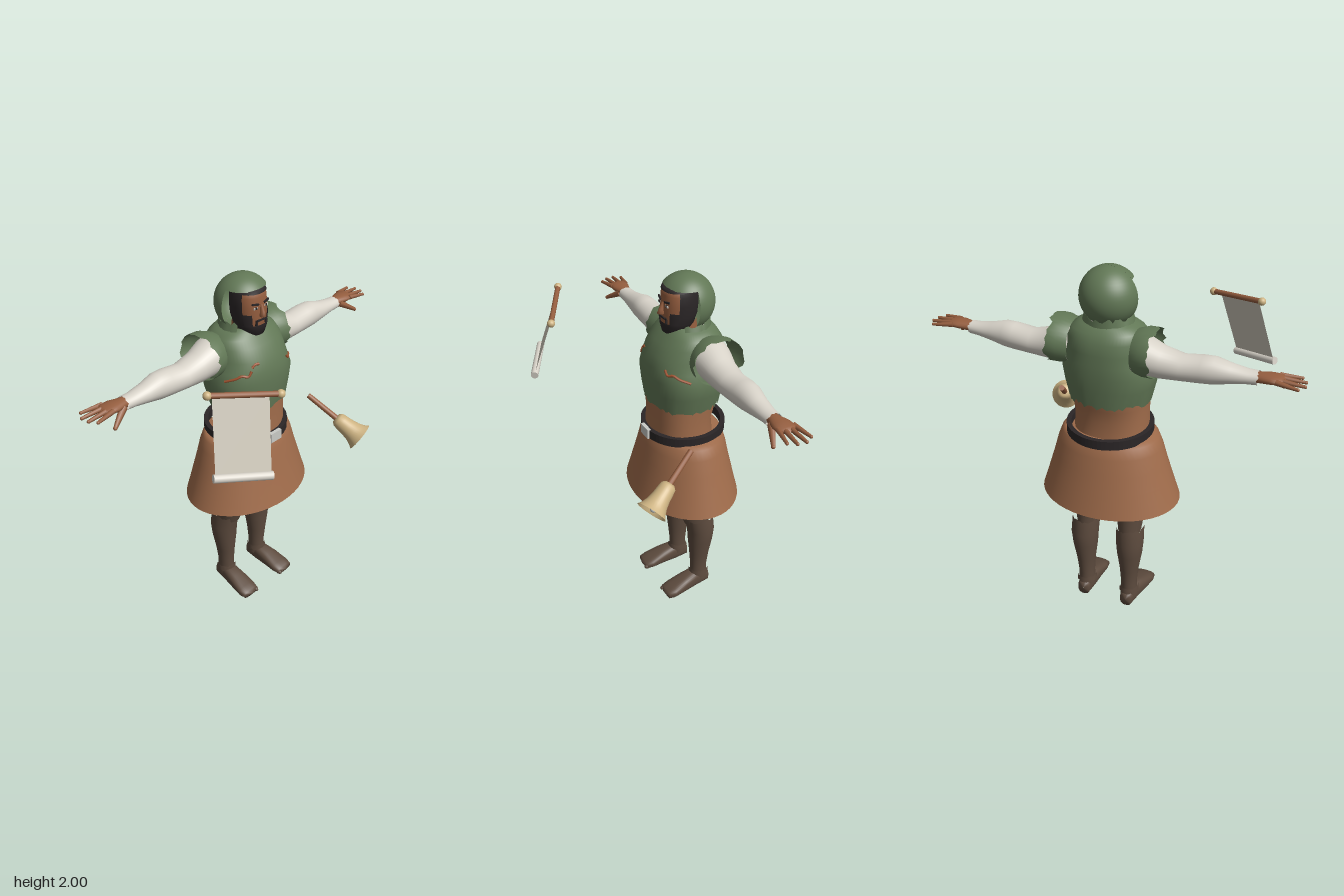
import * as THREE from 'three';

const mat = (name, color, side = THREE.FrontSide) => {
  const m = new THREE.MeshStandardMaterial({ color, side });
  m.name = name;
  return m;
};
const green = mat('green cloth', 0x627856, THREE.DoubleSide);
const skin = mat('skin', 0x955e3f);
const leather = mat('tan leather', 0xa06c4b, THREE.DoubleSide);
const linen = mat('linen', 0xd8d3c9, THREE.DoubleSide);
const boots = mat('dark brown', 0x5d4b3e);
const dark = mat('near black', 0x2b2627, THREE.DoubleSide);
const gold = mat('brass', 0xcdb382, THREE.DoubleSide);
const paper = mat('paper', 0xcdc7b9, THREE.DoubleSide);
const rust = mat('rust', 0xa0532f);
const metal = mat('pale metal', 0xc9cac6);

const V = (x, y, z) => new THREE.Vector3(x, y, z);
let seed = 7;
const rand = () => (seed = (seed * 16807) % 2147483647) / 2147483647;

// Skin over rings [t, u, v, ru, rv], t increasing along the axis.
// Axis y: u = x, v = z.  Axis x: u = z, v = y.  Axis z: u = y, v = x.
function loft(axis, rings, { n = 32, power = 2, from = 0, to = Math.PI * 2, jagLow = 0, jagHigh = 0 } = {}) {
  const full = to - from > 6.28, cols = full ? n : n + 1, pos = [], idx = [];
  const pw = c => Math.sign(c) * Math.abs(c) ** (2 / power);
  rings.forEach(([t, u, v, ru, rv], i) => {
    for (let j = 0; j < cols; j++) {
      const a = from + (to - from) * j / n;
      const p = u + ru * pw(Math.cos(a)), q = v + rv * pw(Math.sin(a));
      let s = t;
      if (i === 0) s -= jagLow * rand();
      if (i === rings.length - 1) s += jagHigh * rand();
      pos.push(...(axis === 'y' ? [p, s, q] : axis === 'x' ? [s, q, p] : [q, p, s]));
    }
  });
  for (let i = 0; i < rings.length - 1; i++) {
    for (let j = 0; j < n; j++) {
      const k = (j + 1) % cols, a = i * cols + j, b = i * cols + k;
      idx.push(a, a + cols, b, b, a + cols, b + cols);
    }
  }
  const g = new THREE.BufferGeometry();
  g.setAttribute('position', new THREE.Float32BufferAttribute(pos, 3));
  g.setIndex(idx);
  g.computeVertexNormals();
  return g;
}

// Tapered rod between two points
function rod(a, b, ra, rb, n = 12) {
  const d = b.clone().sub(a);
  const g = new THREE.CylinderGeometry(rb, ra, d.length(), n);
  g.applyQuaternion(new THREE.Quaternion().setFromUnitVectors(V(0, 1, 0), d.normalize()));
  return g.translate((a.x + b.x) / 2, (a.y + b.y) / 2, (a.z + b.z) / 2);
}
const ball = (p, r, sx = 1, sy = 1, sz = 1) => new THREE.SphereGeometry(r, 16, 12).scale(sx, sy, sz).translate(p.x, p.y, p.z);
const box = (w, h, d, x, y, z) => new THREE.BoxGeometry(w, h, d).translate(x, y, z);

function mirrored(geo) {
  const g = geo.clone().scale(-1, 1, 1), ix = g.index;
  for (let i = 0; i < ix.count; i += 3) {
    const t = ix.getX(i);
    ix.setX(i, ix.getX(i + 2));
    ix.setX(i + 2, t);
  }
  return g;
}

export function createModel() {
  const model = new THREE.Group();
  const add = (name, geo, m) => {
    const mesh = new THREE.Mesh(geo, m);
    mesh.name = name;
    model.add(mesh);
  };
  const pair = (name, geo, m) => {
    add('left ' + name, geo, m);
    add('right ' + name, mirrored(geo), m);
  };

  // Torso: bare waist, ragged tunic, collar
  add('waist', loft('y', [[1.08, 0, -.165, .2, .17], [1.2, 0, -.16, .195, .16], [1.28, 0, -.17, .2, .172], [1.38, 0, -.177, .2, .178]], { power: 2.3 }), leather);
  const tunicRings = [[1.325, 0, -.175, .212, .187], [1.4, 0, -.175, .235, .198], [1.48, 0, -.175, .248, .204],
    [1.54, 0, -.178, .225, .2], [1.6, 0, -.185, .21, .19], [1.66, 0, -.2, .205, .17], [1.7, 0, -.205, .185, .14], [1.725, 0, -.205, .14, .12], [1.74, 0, -.2, .1, .1]];
  add('tunic', loft('y', tunicRings, { n: 64, power: 2.3, jagLow: .03 }), green);
  add('hood collar', loft('y', [[1.7, 0, -.2, .14, .125], [1.75, 0, -.2, .118, .12]], { n: 30, from: Math.PI - .6, to: 2 * Math.PI + .6, jagHigh: .03 }), green);
  add('collar frill', loft('y', [[1.69, 0, -.18, .1, .12], [1.715, 0, -.18, .085, .1]], { n: 40, jagHigh: .025 }), linen);
  add('neck', loft('y', [[1.6, 0, -.2, .07, .07], [1.76, 0, -.18, .065, .065]]), skin);

  // Torn seams lying on the chest
  const onTunic = (x, y) => {
    const i = tunicRings.findIndex(r => r[0] > y), a = tunicRings[i - 1], b = tunicRings[i];
    const k = (y - a[0]) / (b[0] - a[0]), mix = c => a[c] + (b[c] - a[c]) * k;
    return V(x, y, mix(2) + mix(4) * Math.max(0, 1 - Math.abs(x / mix(3)) ** 2.3) ** (1 / 2.3));
  };
  const tear = pts => new THREE.TubeGeometry(new THREE.CatmullRomCurve3(pts.map(p => onTunic(...p))), 20, .007, 6);
  pair('chest tear', tear([[.125, 1.56], [.145, 1.535], [.17, 1.54], [.195, 1.525], [.228, 1.505]]), rust);
  add('small tear', tear([[-.12, 1.575], [-.1, 1.59], [-.08, 1.59]]), rust);

  // Skirt and belt
  const skirt = [[.385, .72], [.365, .78], [.34, .86], [.312, .95], [.287, 1.04], [.265, 1.095], [.245, 1.112], [.18, 1.116]];
  add('skirt', new THREE.LatheGeometry(skirt.map(p => new THREE.Vector2(...p)), 48).scale(1, 1, .768).translate(0, 0, -.19), leather);
  const ring = new THREE.Shape().absarc(0, 0, .23, 0, Math.PI * 2);
  ring.holes.push(new THREE.Path().absarc(0, 0, .205, 0, Math.PI * 2));
  add('belt', new THREE.ExtrudeGeometry(ring, { depth: .05, bevelEnabled: false, curveSegments: 32 }).rotateX(-Math.PI / 2).translate(0, 1.105, -.19), dark);
  add('buckle', box(.08, .056, .02, 0, 1.13, .037), metal);

  // Legs, boots and feet
  pair('thigh', loft('y', [[.5, .125, -.225, .062, .075], [.6, .122, -.205, .076, .09], [.72, .117, -.193, .086, .107], [1.08, .1, -.18, .09, .12]]), boots);
  pair('boot shaft', loft('y', [[.06, .132, -.25, .048, .055], [.15, .131, -.25, .044, .05], [.25, .133, -.25, .053, .06],
    [.36, .135, -.252, .07, .074], [.44, .136, -.252, .077, .08], [.525, .133, -.235, .076, .086]], { n: 40, jagHigh: .025 }), boots);
  pair('ankle cuff', loft('y', [[.1, .132, -.25, .055, .06], [.12, .132, -.25, .052, .057]], { jagLow: .015, jagHigh: .012 }), boots);
  pair('foot', loft('z', [[-.312, .05, .132, .001, .001], [-.305, .05, .132, .045, .035], [-.22, .056, .135, .056, .047],
    [-.14, .046, .142, .046, .056], [-.06, .03, .147, .03, .063], [-.02, .024, .148, .024, .055], [-.008, .022, .148, .001, .001]], { power: 2.6 }), boots);
  for (let i = 0; i < 5; i++) pair('toe', ball(V(.105 + i * .022, .02, -.025 - i * .006), .014, 1, 1, 1.5), boots);

  // Arms: ragged armhole, sleeve, hand
  pair('armhole rag', loft('x', [[.165, -.235, 1.605, .115, .11], [.215, -.24, 1.61, .138, .122], [.245, -.24, 1.61, .142, .122]], { n: 36, jagHigh: .04 }), green);
  pair('sleeve', loft('x', [[.17, -.24, 1.595, .11, .1], [.22, -.24, 1.59, .1, .098], [.3, -.238, 1.568, .084, .082], [.4, -.236, 1.558, .076, .066],
    [.5, -.235, 1.567, .073, .07], [.56, -.233, 1.57, .068, .069], [.64, -.229, 1.567, .055, .05], [.72, -.227, 1.567, .045, .036], [.765, -.226, 1.568, .042, .034]], { jagHigh: .012 }), linen);
  pair('palm', loft('x', [[.73, -.226, 1.57, .03, .026], [.78, -.226, 1.573, .036, .026], [.83, -.226, 1.578, .05, .024], [.88, -.228, 1.58, .052, .018], [.9, -.228, 1.58, .001, .001]], { n: 20 }), skin);
  [[-.27, .975], [-.242, 1], [-.212, .995], [-.186, .97]].forEach(([z, x]) => {
    const tip = V(x - .008, 1.575, z * 1.5 + .114);
    pair('finger', rod(V(.86, 1.582, z), tip, .014, .008, 8), skin);
    pair('fingertip', ball(tip, .0085), skin);
  });
  pair('thumb', rod(V(.79, 1.565, -.2), V(.88, 1.51, -.155), .02, .01, 8), skin);
  pair('thumb tip', ball(V(.88, 1.51, -.155), .0105), skin);

  // Head, hair and beard
  const headRings = [[1.69, 0, -.125, .02, .02], [1.705, 0, -.13, .052, .058], [1.75, 0, -.14, .075, .078], [1.8, 0, -.148, .085, .09],
    [1.86, 0, -.15, .089, .092], [1.91, 0, -.15, .087, .088], [1.945, 0, -.15, .075, .078], [1.965, 0, -.15, .001, .001]];
  add('head', loft('y', headRings, { power: 2.2 }), skin);
  const grow = (rs, d) => rs.map(([t, u, v, a, b]) => [t, u, v, a + d, b + d]);
  add('hair', loft('y', grow(headRings.slice(1, 7), .006), { power: 2.2, from: Math.PI - .4, to: 2 * Math.PI + .4 }), dark);
  add('hairline', loft('y', grow([[1.93, 0, -.15, .081, .083], ...headRings.slice(6)], .006), { power: 2.2 }), dark);
  add('beard', loft('y', grow([[1.69, 0, -.125, .02, .02], [1.705, 0, -.13, .052, .058], [1.75, 0, -.14, .075, .078], [1.764, 0, -.143, .078, .081]], .008), { power: 2.2 }), dark);
  pair('beard cheek', loft('y', grow([[1.75, 0, -.14, .075, .078], [1.8, 0, -.148, .085, .09], [1.825, 0, -.15, .086, .091]], .005), { n: 10, power: 2.2, from: .3, to: .95 }), dark);
  add('moustache', box(.06, .009, .01, 0, 1.79, -.058), dark);
  pair('moustache end', box(.009, .03, .01, .032, 1.777, -.063), dark);
  add('nose', loft('y', [[1.803, 0, -.058, .006, .01], [1.812, 0, -.052, .018, .023], [1.835, 0, -.055, .011, .018], [1.875, 0, -.062, .008, .008]], { n: 10 }), skin);
  pair('eye', box(.026, .01, .006, .036, 1.859, -.063), linen);
  pair('pupil', box(.01, .011, .006, .035, 1.859, -.061), dark);
  pair('eyebrow', box(.04, .009, .008, 0, 0, 0).rotateZ(.18).rotateY(.2).translate(.038, 1.88, -.063), dark);

  // Hood: open at the face, with a brim over the brow
  const hoodPart = (phi, theta) => new THREE.SphereGeometry(.15, 32, 24, phi, Math.PI, 0, theta).translate(0, 1.85, -.19);
  add('hood back', hoodPart(Math.PI, Math.PI), green);
  add('hood brim', hoodPart(0, .9), green);

  // Hanging scroll
  const a = V(-.65, 1.752, .24), b = V(-.35, 1.702, .405), drop = V(-.085, -.362, .095);
  const along = k => a.clone().lerp(b, k);
  add('scroll rod', rod(a, b, .014, .014), skin);
  [a, b].forEach(p => add('scroll knob', ball(p, .021), gold));
  const corners = [along(.06), along(.84), along(.06).add(drop), along(.84).add(drop)];
  const sheet = new THREE.PlaneGeometry(1, 1);
  corners.forEach((p, i) => sheet.attributes.position.setXYZ(i, p.x, p.y, p.z));
  sheet.computeVertexNormals();
  add('scroll sheet', sheet, paper);
  add('scroll roll', rod(along(.03).add(drop), along(.86).add(drop), .021, .021, 16), linen);

  // Hand bell
  const top = V(.355, 1.195, -.04), mouth = V(.475, .988, .25);
  const at = k => top.clone().lerp(mouth, k);
  add('bell handle', rod(top, at(.6), .015, .017), skin);
  const bell = [[.001, .175], [.028, .172], [.042, .158], [.046, .13], [.05, .09], [.058, .05], [.07, .02], [.083, 0]].reverse();
  const bellGeo = new THREE.LatheGeometry(bell.map(p => new THREE.Vector2(...p)), 32);
  bellGeo.applyQuaternion(new THREE.Quaternion().setFromUnitVectors(V(0, 1, 0), top.clone().sub(mouth).normalize()));
  add('bell', bellGeo.translate(mouth.x, mouth.y, mouth.z), gold);
  add('bell clapper', ball(at(.95), .018), metal);

  return model;
}
